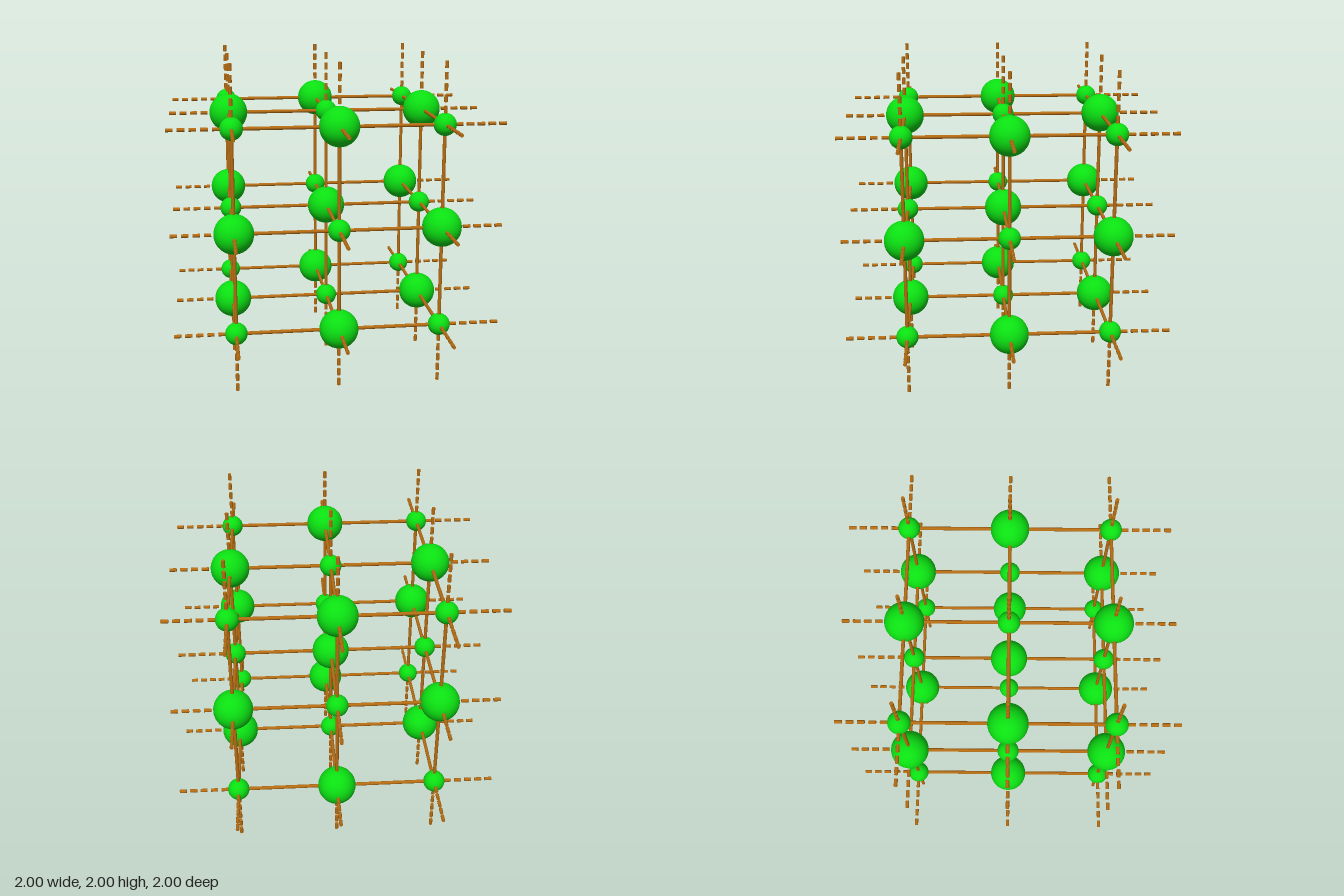
import * as THREE from 'three';

export function createModel() {
  const model = new THREE.Group();
  const S = 0.627; // lattice spacing
  const green = new THREE.MeshStandardMaterial({ color: 0x0be012 });
  const brown = new THREE.MeshStandardMaterial({ color: 0xb56c12 });

  const largeGeo = new THREE.SphereGeometry(0.12, 32, 24);
  const smallGeo = new THREE.SphereGeometry(0.068, 32, 24);
  const dashLength = 0.043, dashPeriod = 0.066;
  const barGeo = new THREE.CylinderGeometry(0.011, 0.011, 2 * S, 12);
  const dashGeo = new THREE.CylinderGeometry(0.011, 0.011, dashLength, 12);
  const steps = [-1, 0, 1];

  const atoms = new THREE.Group();
  atoms.name = 'atoms';
  const bonds = new THREE.Group();
  bonds.name = 'bonds';
  const dashes = new THREE.Group();
  dashes.name = 'dashedBonds';
  const lattice = new THREE.Group();
  lattice.name = 'lattice';
  lattice.position.y = 1;
  lattice.add(atoms, bonds, dashes);
  model.add(lattice);

  // Large and small balls alternate through the cubic lattice
  for (const x of steps) for (const y of steps) for (const z of steps) {
    const large = (x + y + z) % 2 === 0;
    const ball = new THREE.Mesh(large ? largeGeo : smallGeo, green);
    ball.name = large ? 'largeAtom' : 'smallAtom';
    ball.position.set(x * S, y * S, z * S);
    atoms.add(ball);
  }

  // Places a rod along one axis: t along it, a and b across it
  function addRod(parent, geometry, name, axis, t, a, b) {
    const rod = new THREE.Mesh(geometry, brown);
    rod.name = name;
    const p = [0, 0, 0];
    p[axis] = t;
    p[(axis + 1) % 3] = a * S;
    p[(axis + 2) % 3] = b * S;
    rod.position.set(...p);
    if (axis === 0) rod.rotation.z = Math.PI / 2;
    if (axis === 2) rod.rotation.x = Math.PI / 2;
    parent.add(rod);
  }

  // Solid rods through the lattice, continued outward as dashes
  for (const axis of [0, 1, 2]) for (const a of steps) for (const b of steps) {
    addRod(bonds, barGeo, 'bond', axis, 0, a, b);
    for (const side of [-1, 1]) {
      for (let i = 0; i < 6; i++) {
        const t = 1 - dashLength / 2 - i * dashPeriod;
        addRod(dashes, dashGeo, 'dash', axis, side * t, a, b);
      }
    }
  }
  return model;
}
